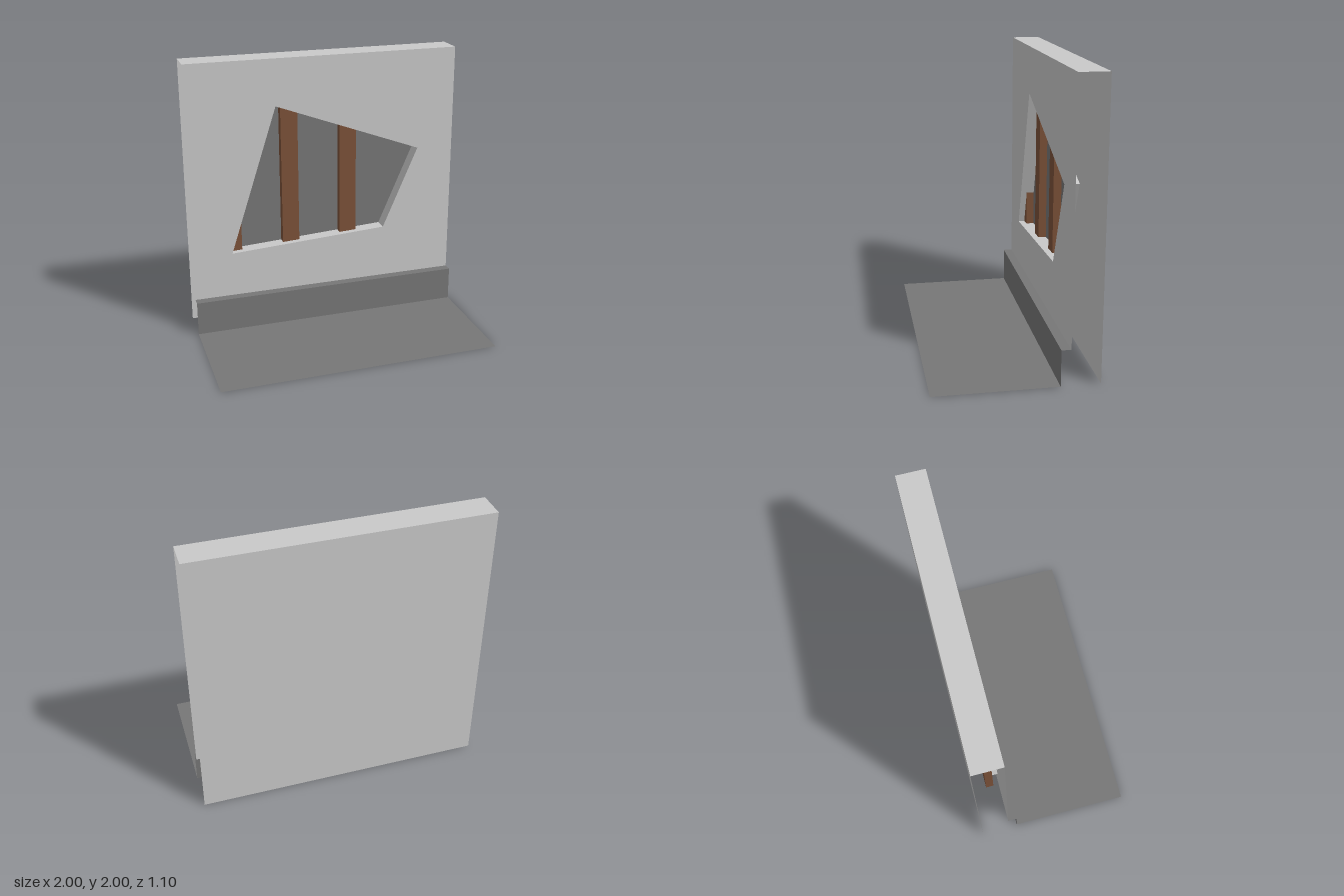
import * as THREE from 'three';

export function createModel() {
  const group = new THREE.Group();
  const material = (name, color) => {
    const m = new THREE.MeshStandardMaterial({ color, side: THREE.DoubleSide });
    m.name = name;
    return m;
  };
  const plaster = material('light grey plaster', 0xcacaca);
  const dark = material('dark grey', 0x777777);
  const wood = material('brown wood', 0x7c5239);

  const add = (name, geometry, mat, x = 0, y = 0, z = 0) => {
    const mesh = new THREE.Mesh(geometry, mat);
    mesh.name = name;
    mesh.position.set(x, y, z);
    group.add(mesh);
    return mesh;
  };
  // Horizontal sheet facing up, or upright sheet facing forward or back
  const level = (w, d) => new THREE.PlaneGeometry(w, d).rotateX(-Math.PI / 2);
  const upright = (w, h) => new THREE.PlaneGeometry(w, h);

  const frontZ = -0.35, recessZ = -0.45, backZ = -0.55, skirtingZ = -0.285;

  // Outline of the broken opening, counter-clockwise
  const corners = [[-0.71, 0.582], [0.46, 0.65], [0.725, 1.255], [-0.36, 1.66]]
    .map(([x, y]) => new THREE.Vector2(x, y));

  // Front of the wall with the opening cut out
  const wall = new THREE.Shape([[-1, 0.25], [1, 0.25], [1, 2], [-1, 2]]
    .map(([x, y]) => new THREE.Vector2(x, y)));
  wall.holes.push(new THREE.Path(corners));
  add('wallFront', new THREE.ShapeGeometry(wall), plaster, 0, 0, frontZ);
  add('wallTop', level(2, frontZ - backZ), plaster, 0, 2, (frontZ + backZ) / 2);
  add('wallBack', upright(2, 2).rotateY(Math.PI), plaster, 0, 1, backZ);

  // Edges of the opening, and the dark panel closing it behind
  corners.forEach((a, i) => {
    const b = corners[(i + 1) % corners.length];
    const edge = level(a.distanceTo(b), frontZ - recessZ);
    edge.rotateZ(Math.atan2(b.y - a.y, b.x - a.x));
    add('openingEdge', edge, plaster, (a.x + b.x) / 2, (a.y + b.y) / 2, (frontZ + recessZ) / 2);
  });
  add('recessPanel', new THREE.ShapeGeometry(new THREE.Shape(corners)), dark, 0, 0, recessZ);

  // Wooden studs seen through the opening: centre x and top height
  const bottom = 0.43, depth = 0.055;
  for (const [x, top] of [[-0.69, 0.95], [-0.253, 1.66], [0.19, 1.535]]) {
    add('stud', new THREE.BoxGeometry(0.126, top - bottom, depth), wood,
      x, (top + bottom) / 2, recessZ + depth / 2);
  }

  // Skirting board and floor
  add('skirtingTop', level(2, skirtingZ - frontZ), dark, 0, 0.25, (skirtingZ + frontZ) / 2);
  add('skirtingFront', upright(2, 0.25), dark, 0, 0.125, skirtingZ);
  add('floor', level(2, 0.55 - skirtingZ), dark, 0, 0, (0.55 + skirtingZ) / 2);

  return group;
}
